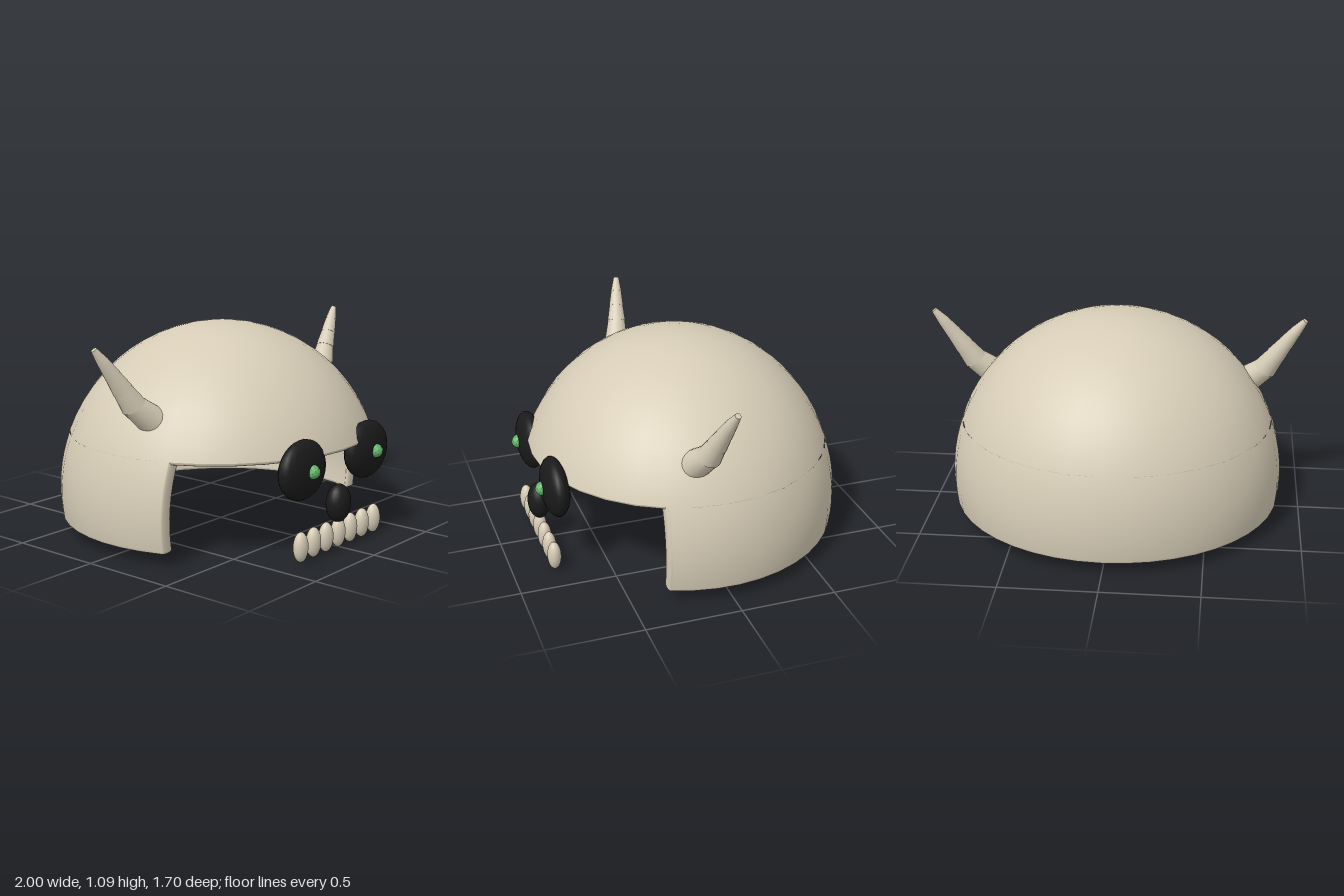
import * as THREE from 'three';

const bone = new THREE.MeshStandardMaterial({ name: 'bone', color: 0xd6ccb6 });
const black = new THREE.MeshStandardMaterial({ name: 'black', color: 0x1a1a1a });
const green = new THREE.MeshStandardMaterial({ name: 'green', color: 0x66b86c });

// Helmet shell: outer and inner ellipsoids about one centre, and the cut planes
const CENTER = new THREE.Vector3(0, 0.21, 0.005);
const OUTER = new THREE.Vector3(0.89, 0.885, 0.853);
const INNER = new THREE.Vector3(0.825, 0.82, 0.79);
const BROW_Y = 0.52, BOTTOM_Y = 0.08, CHEEK_Z = 0.305, ROUND = 0.018;

// Surface from a grid of points; shells take exact ellipsoid normals
function grid(nu, nv, point, flip, radii) {
  const pos = [], idx = [], nor = [];
  for (let j = 0; j <= nv; j++) for (let i = 0; i <= nu; i++) {
    const p = point(i / nu, j / nv);
    pos.push(p.x, p.y, p.z);
    if (radii) {
      const n = p.clone().sub(CENTER).divide(radii).divide(radii).normalize();
      if (flip) n.negate();
      nor.push(n.x, n.y, n.z);
    }
  }
  for (let j = 0; j < nv; j++) for (let i = 0; i < nu; i++) {
    const a = j * (nu + 1) + i, b = a + 1, c = b + nu + 1, d = c - 1;
    if (flip) idx.push(a, c, b, a, d, c);
    else idx.push(a, b, c, a, c, d);
  }
  const g = new THREE.BufferGeometry();
  g.setAttribute('position', new THREE.Float32BufferAttribute(pos, 3));
  g.setIndex(idx);
  if (radii) g.setAttribute('normal', new THREE.Float32BufferAttribute(nor, 3));
  else g.computeVertexNormals();
  return g;
}

// Point on an ellipsoid at height y and angle theta (0 = front)
function onShell(r, y, theta) {
  const s = Math.sqrt(Math.max(0, 1 - ((y - CENTER.y) / r.y) ** 2));
  return new THREE.Vector3(r.x * s * Math.sin(theta), y, CENTER.z + r.z * s * Math.cos(theta));
}

// Point on the skirt, f running 0..1 from left cheek edge round the back to the right
function onSkirt(r, y, f) {
  const s = Math.sqrt(1 - ((y - CENTER.y) / r.y) ** 2);
  const cut = Math.acos((CHEEK_Z - CENTER.z) / (r.z * s));
  return onShell(r, y, cut + f * 2 * (Math.PI - cut));
}

// Rounded edge joining outer and inner shell, bulging along dir
function edgePoint(outer, inner, dir, t) {
  const a = t * Math.PI;
  return outer.lerp(inner, (1 - Math.cos(a)) / 2)
    .addScaledVector(dir, ROUND * Math.sqrt(Math.max(0, Math.sin(a))));
}

function mesh(name, geometry, material, parent) {
  const m = new THREE.Mesh(geometry, material);
  m.name = name;
  parent.add(m);
  return m;
}

function ellipsoid(name, center, radii, material, parent) {
  const m = mesh(name, new THREE.SphereGeometry(1, 24, 16), material, parent);
  m.position.set(...center);
  m.scale.set(...radii);
  return m;
}

function buildHelmet() {
  const helmet = new THREE.Group();
  helmet.name = 'helmet';
  for (const [label, r, flip] of [['outer', OUTER, false], ['inner', INNER, true]]) {
    const low = Math.asin((BROW_Y - CENTER.y) / r.y);
    const dome = (u, v) => onShell(r,
      CENTER.y + r.y * Math.sin(low + v * (Math.PI / 2 - low)), u * 2 * Math.PI);
    mesh(label + 'Dome', grid(32, 12, dome, flip, r), bone, helmet);
    const skirt = (u, v) => onSkirt(r, BOTTOM_Y + v * (BROW_Y - BOTTOM_Y), u);
    mesh(label + 'Skirt', grid(28, 8, skirt, flip, r), bone, helmet);
  }

  // Brow edge
  const down = new THREE.Vector3(0, -1, 0);
  mesh('browEdge', grid(32, 10, (u, v) => edgePoint(
    onShell(OUTER, BROW_Y, u * 2 * Math.PI), onShell(INNER, BROW_Y, u * 2 * Math.PI), down, v), true), bone, helmet);

  // Edge down one cheek, along the bottom and up the other cheek
  const frames = [];
  const cheek = (f, k) => frames.push({ f, y: BROW_Y + k * (BOTTOM_Y - BROW_Y), a: 0 });
  const corner = (f, k) => frames.push({ f, y: BOTTOM_Y, a: k * Math.PI / 2 });
  for (let k = 0; k <= 8; k++) cheek(0, k / 8);
  for (let k = 1; k <= 4; k++) corner(0, k / 4);
  for (let k = 1; k <= 28; k++) corner(k / 28, 1);
  for (let k = 3; k >= 0; k--) corner(1, k / 4);
  for (let k = 7; k >= 0; k--) cheek(1, k / 8);
  const n = frames.length - 1;
  mesh('skirtEdge', grid(n, 10, (u, v) => {
    const { f, y, a } = frames[Math.round(u * n)];
    return edgePoint(onSkirt(OUTER, y, f), onSkirt(INNER, y, f),
      new THREE.Vector3(0, -Math.sin(a), Math.cos(a)), v);
  }, true), bone, helmet);
  return helmet;
}

// Horn of stacked tapering segments along a gently bending path
function buildHorn(side) {
  const horn = new THREE.Group();
  horn.name = side > 0 ? 'leftHorn' : 'rightHorn';
  const path = [[0.665, 0.665, 0.15], [0.785, 0.77, 0.105], [0.84, 0.855, 0.085],
    [0.89, 0.93, 0.07], [0.937, 1.0, 0.055], [0.985, 1.067, 0.04]]
    .map(([x, y, z]) => new THREE.Vector3(side * x, y, z));
  const base = [0.08, 0.064, 0.052, 0.041, 0.031], top = [0.064, 0.052, 0.041, 0.031, 0.017];
  for (let i = 0; i < 5; i++) {
    const axis = path[i + 1].clone().sub(path[i]);
    const length = axis.length() + (i < 4 ? 0.012 : 0);
    axis.normalize();
    const seg = mesh('hornSegment', new THREE.CylinderGeometry(top[i] * 0.93, base[i], length, 20), bone, horn);
    seg.position.copy(path[i]).addScaledVector(axis, length / 2);
    seg.quaternion.setFromUnitVectors(new THREE.Vector3(0, 1, 0), axis);
  }
  return horn;
}

export function createModel() {
  const model = new THREE.Group();
  model.name = 'skullHelmet';
  model.add(buildHelmet());

  // Horns, eye sockets and glowing pupils
  const pupilMaterial = green;
  pupilMaterial.flatShading = true;
  for (const side of [1, -1]) {
    const label = side > 0 ? 'left' : 'right';
    model.add(buildHorn(side));
    ellipsoid(label + 'EyeSocket', [side * 0.28, 0.458, 0.752], [0.175, 0.152, 0.07], black, model);
    const pupil = mesh(label + 'Pupil', new THREE.IcosahedronGeometry(0.038, 1), pupilMaterial, model);
    pupil.position.set(side * 0.278, 0.458, 0.815);
  }

  // Nose and row of teeth
  ellipsoid('nose', [0, 0.233, 0.778], [0.074, 0.1, 0.06], black, model);
  for (let i = -3; i <= 3; i++) {
    ellipsoid('tooth', [i * 0.107, 0.078, 0.78], [0.043, 0.077, 0.036], bone, model);
  }
  return model;
}
